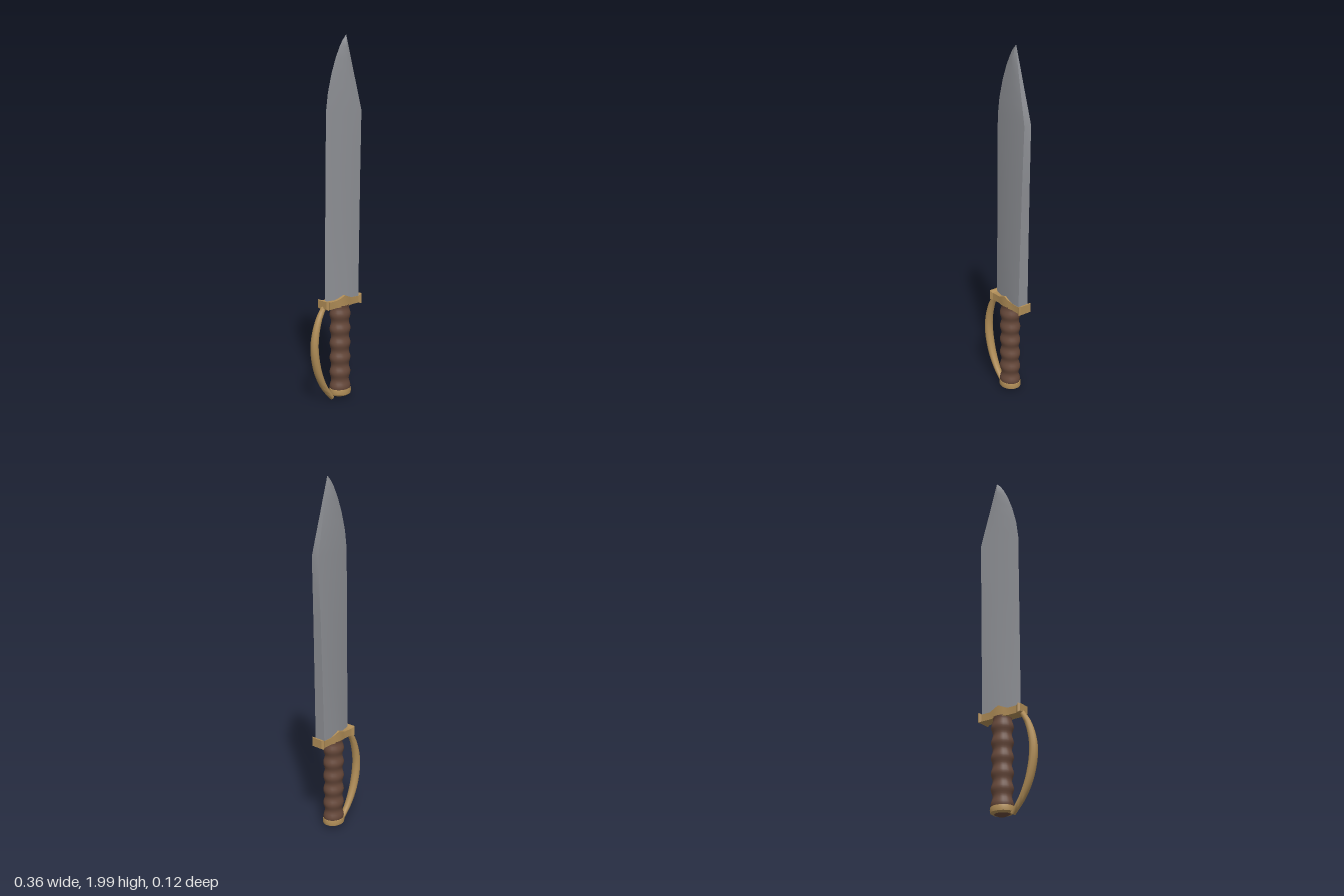
import * as THREE from 'three';
import { toCreasedNormals } from 'three/addons/utils/BufferGeometryUtils.js';

const steel = new THREE.MeshStandardMaterial({ color: 0x8f9196 });
const brass = new THREE.MeshStandardMaterial({ color: 0xb08d57 });
const leather = new THREE.MeshStandardMaterial({ color: 0x66483a });
const GRIP_X = 0.037, GRIP_DEPTH = 0.88;

// Skin a list of equal-length rings of [x, y, z], with flat end caps, facing outwards
function loft(rings, crease) {
  const n = rings[0].length, pos = rings.flat(2), idx = [];
  for (let r = 0; r < rings.length - 1; r++) {
    for (let i = 0; i < n; i++) {
      const a = r * n + i, b = r * n + (i + 1) % n;
      idx.push(a, b, a + n, b, b + n, a + n);
    }
  }
  const top = (rings.length - 1) * n;
  for (let i = 1; i < n - 1; i++) idx.push(0, i + 1, i, top, top + i, top + i + 1);
  // signed volume tells whether the skin is inside out
  const p = (i) => new THREE.Vector3().fromArray(pos, i * 3);
  let volume = 0;
  for (let i = 0; i < idx.length; i += 3) volume += p(idx[i]).dot(p(idx[i + 1]).cross(p(idx[i + 2])));
  if (volume < 0) idx.reverse();
  const g = new THREE.BufferGeometry();
  g.setAttribute('position', new THREE.Float32BufferAttribute(pos, 3));
  g.setIndex(idx);
  return toCreasedNormals(g, crease);
}

function add(group, name, geometry, material) {
  const mesh = new THREE.Mesh(geometry, material);
  mesh.name = name;
  group.add(mesh);
  return mesh;
}

// Oval turned part around the grip axis, from [radius, y] pairs
function turned(profile, crease) {
  const g = new THREE.LatheGeometry(profile.map(([r, y]) => new THREE.Vector2(r, y)), 20);
  g.scale(1, 1, GRIP_DEPTH).translate(GRIP_X, 0, 0);
  return toCreasedNormals(g, crease);
}

export function createModel() {
  const group = new THREE.Group();

  // Blade: [y, cutting edge x, ridge x, spine x, ridge half-thickness, spine half-thickness]
  const blade = [
    [0.56, -0.08, 0.05, 0.148, 0.032, 0.032],
    [0.9, -0.077, 0.055, 0.156, 0.029, 0.029],
    [1.25, -0.073, 0.06, 0.165, 0.026, 0.026],
    [1.6, -0.069, 0.066, 0.177, 0.022, 0.022],
    [1.7, -0.055, 0.068, 0.153, 0.02, 0.017],
    [1.8, -0.028, 0.07, 0.128, 0.017, 0.012],
    [1.88, 0.002, 0.07, 0.109, 0.014, 0.008],
    [1.94, 0.032, 0.07, 0.094, 0.012, 0.005],
    [1.975, 0.055, 0.075, 0.086, 0.007, 0.003],
    [2, 0.079, 0.08, 0.081, 0.001, 0.001],
  ];
  add(group, 'blade', loft(blade.map(([y, e, m, s, t, u]) =>
    [[e, y, 0], [m, y, t], [s, y, u], [s, y, -u], [m, y, -t]]), 0.6), steel);

  // Crossguard: [x, bottom y, top y, half-depth], with flared ends and a raised middle
  const guard = [
    [-0.1, 0.54, 0.582, 0.034], [-0.09, 0.533, 0.583, 0.042], [-0.075, 0.533, 0.574, 0.034],
    [-0.02, 0.533, 0.574, 0.033], [0.005, 0.533, 0.583, 0.039], [0.035, 0.533, 0.597, 0.042],
    [0.068, 0.533, 0.583, 0.039], [0.095, 0.533, 0.574, 0.033], [0.148, 0.533, 0.572, 0.034],
    [0.163, 0.528, 0.583, 0.042], [0.173, 0.534, 0.583, 0.034],
  ];
  add(group, 'crossguard', loft(guard.map(([x, a, b, d]) =>
    [[x, a, d], [x, b, d], [x, b, -d], [x, a, -d]]), 0.45), brass);

  // Grip with finger ridges
  const grip = [];
  for (let i = 0; i <= 48; i++) {
    const y = 0.05 + i * 0.49 / 48;
    grip.push([0.057 + 0.005 * Math.cos((y - 0.485) / 0.083 * Math.PI * 2), y]);
  }
  add(group, 'grip', turned(grip, 1), leather);

  // Pommel ring and its end cap
  add(group, 'pommel', turned([[0, 0.022], [0.052, 0.022], [0.064, 0.03], [0.066, 0.045],
    [0.063, 0.06], [0.05, 0.063]], 0.6), brass);
  add(group, 'pommelCap', turned([[0, 0.009], [0.022, 0.012], [0.048, 0.024]], 0.6), leather);

  // Knuckle bow: an oval section swept along a curve, thinner at both ends
  const path = new THREE.CatmullRomCurve3([[-0.085, 0.55], [-0.13, 0.47], [-0.158, 0.34],
    [-0.137, 0.2], [-0.09, 0.095], [-0.028, 0.015]].map(([x, y]) => new THREE.Vector3(x, y, 0)));
  const rings = [];
  for (let i = 0; i <= 24; i++) {
    const u = i / 24, c = path.getPointAt(u), t = path.getTangentAt(u);
    const r = 0.013 + 0.009 * Math.sin(Math.PI * u);
    rings.push(Array.from({ length: 10 }, (_, k) => {
      const a = k / 10 * Math.PI * 2, w = r * Math.cos(a);
      return [c.x - t.y * w, c.y + t.x * w, 1.15 * r * Math.sin(a)];
    }));
  }
  add(group, 'knuckleBow', loft(rings, 0.9), brass);

  return group;
}
